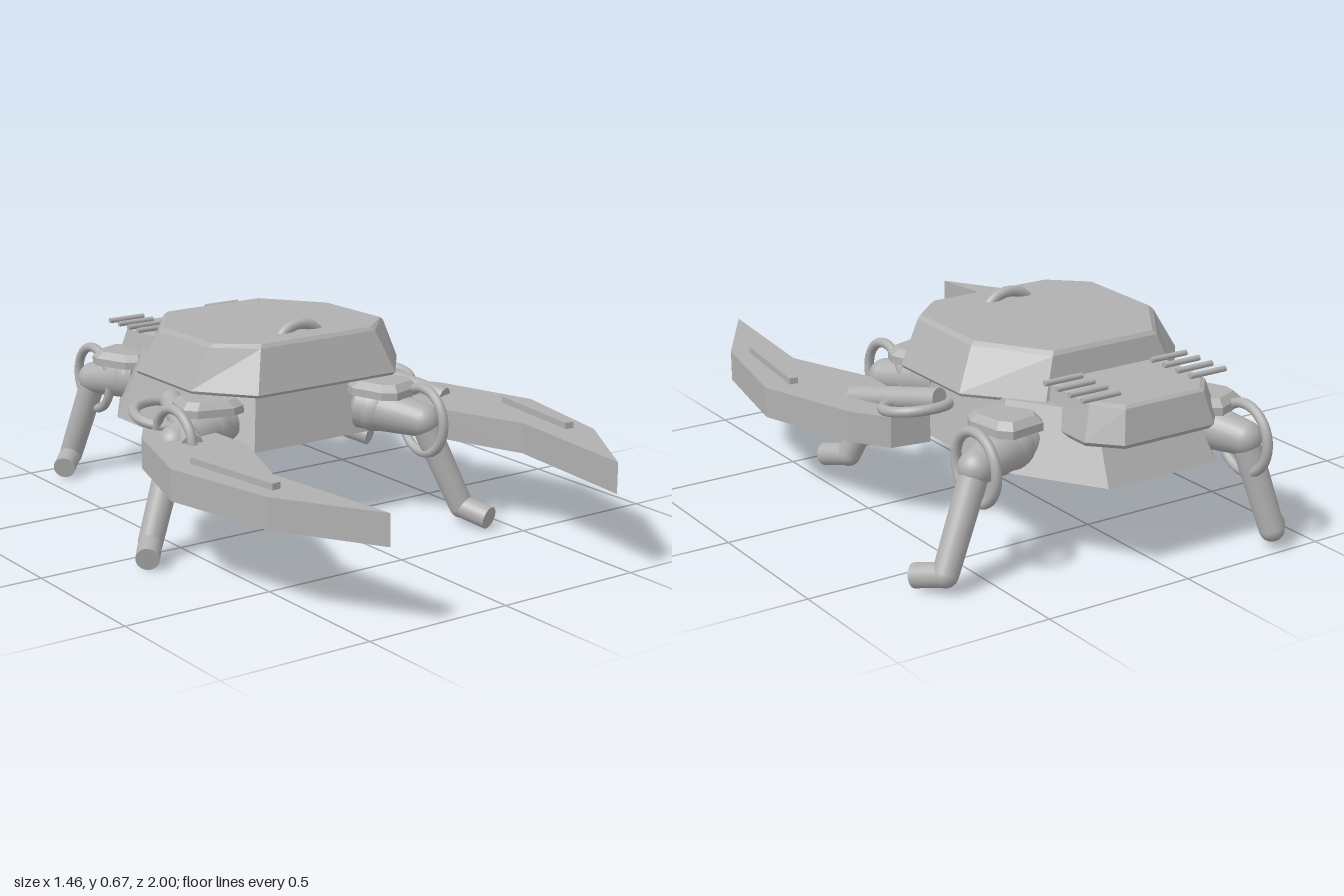
import * as THREE from 'three';

const V = (x, y, z) => new THREE.Vector3(x, y, z);

// Eight-sided outline: side half-width, front/rear half-widths, then z from front to rear
function oct(xo, xf, xr, zF, zf, zr, zR) {
  return [[xf, zF], [xo, zf], [xo, zr], [xr, zR], [-xr, zR], [-xo, zr], [-xo, zf], [-xf, zF]];
}

// Closed faceted solid through stacked outlines; levels are [y, outline], tilt lowers the rear
function loft(levels, tilt = 0) {
  const pos = [], idx = [], n = levels[0][1].length;
  levels.forEach(([y, pts], k) => pts.forEach(([x, z]) =>
    pos.push(x, y + (k >= levels.length - 2 ? tilt * z : 0), z)));
  for (let k = 0; k < levels.length - 1; k++) {
    for (let i = 0; i < n; i++) {
      const a = k * n + i, b = k * n + (i + 1) % n;
      idx.push(a, b, b + n, a, b + n, a + n);
    }
  }
  const top = (levels.length - 1) * n;
  for (let i = 1; i < n - 1; i++) idx.push(0, i + 1, i, top, top + i, top + i + 1);
  let g = new THREE.BufferGeometry();
  g.setAttribute('position', new THREE.Float32BufferAttribute(pos, 3));
  g.setIndex(idx);
  g = g.toNonIndexed();
  g.computeVertexNormals();
  return g;
}

// Round bar from a to b
function bar(a, b, ra, rb = ra, sides = 24) {
  const d = b.clone().sub(a);
  const g = new THREE.CylinderGeometry(rb, ra, d.length(), sides);
  g.applyQuaternion(new THREE.Quaternion().setFromUnitVectors(V(0, 1, 0), d.normalize()));
  const m = a.clone().add(b).multiplyScalar(0.5);
  return g.translate(m.x, m.y, m.z);
}

export function createModel() {
  const grey = new THREE.MeshStandardMaterial({ color: 0xb0b0b0 });
  grey.name = 'grey';
  const model = new THREE.Group();
  model.name = 'crabWalker';
  const add = (name, geometry, parent = model) => {
    const m = new THREE.Mesh(geometry, grey);
    m.name = name;
    parent.add(m);
    return m;
  };

  // Lower hull, wider at the bottom
  add('lowerHull', loft([
    [0.29, oct(0.39, 0.255, 0.2, 0.06, -0.14, -0.57, -0.87)],
    [0.49, oct(0.325, 0.215, 0.17, 0.01, -0.16, -0.52, -0.76)],
  ]));

  // Upper shell with softened rims
  add('upperShell', loft([
    [0.48, oct(0.405, 0.265, 0.235, 0.1, -0.07, -0.4, -0.6)],
    [0.49, oct(0.412, 0.27, 0.24, 0.107, -0.07, -0.4, -0.608)],
    [0.625, oct(0.345, 0.225, 0.195, 0.055, -0.06, -0.365, -0.578)],
    [0.637, oct(0.33, 0.215, 0.185, 0.045, -0.055, -0.36, -0.568)],
  ], 0.015));

  // Rear deck
  add('rearDeck', loft([
    [0.41, oct(0.235, 0.235, 0.155, -0.48, -0.5, -0.8, -0.885)],
    [0.425, oct(0.245, 0.245, 0.165, -0.48, -0.5, -0.81, -0.897)],
    [0.565, oct(0.215, 0.215, 0.145, -0.48, -0.5, -0.79, -0.872)],
    [0.573, oct(0.2, 0.2, 0.135, -0.48, -0.5, -0.785, -0.862)],
  ], 0.045));

  // Arched sight on the shell
  add('topArch', new THREE.TorusGeometry(0.1, 0.018, 12, 40, Math.PI)).position.set(0, 0.557, -0.055);

  // Vent bars on the deck
  for (const s of [-1, 1]) {
    for (let i = 0; i < 4; i++) {
      const z = -0.635 - i * 0.062;
      add('ventBar', bar(V(s * 0.13, 0.56, z), V(s * 0.265, 0.56, z), 0.009, 0.009, 10));
    }
  }

  // Claws with their arms, shoulder rings and top slats
  const outline = [[0.39, -0.2], [0.52, -0.18], [0.6, -0.06], [0.705, 0.285],
    [0.625, 0.68], [0.43, 1], [0.485, 0.5], [0.37, 0.19]];
  for (const s of [-1, 1]) {
    const claw = new THREE.Group();
    claw.name = s > 0 ? 'leftClaw' : 'rightClaw';
    model.add(claw);
    const shape = new THREE.Shape(outline.map(([x, z]) => new THREE.Vector2(s * x, z)));
    const blade = new THREE.ExtrudeGeometry(shape, { depth: 0.1, bevelEnabled: false });
    add('clawBlade', blade.rotateX(Math.PI / 2).translate(0, 0.37, 0), claw);

    const slat = add('clawSlat', new THREE.BoxGeometry(0.03, 0.025, 0.37), claw);
    slat.position.set(s * 0.588, 0.378, 0.45);
    slat.rotation.y = -s * 0.13;

    add('clawArm', bar(V(s * 0.38, 0.42, -0.24), V(s * 0.5, 0.36, 0.08), 0.036), claw);

    const ring = add('shoulderRing', new THREE.TorusGeometry(0.105, 0.017, 12, 40), claw);
    ring.position.set(s * 0.43, 0.395, -0.185);
    ring.rotation.x = Math.PI / 2 + 0.17;
  }

  // Legs: hub base, ring centre, ankle, toe end, and cover position with its turn
  const legs = [
    { name: 'frontRightLeg', hub: V(-0.3, 0.38, -0.07), ring: V(-0.51, 0.35, -0.01),
      ankle: V(-0.64, 0.065, 0.05), toe: V(-0.7, 0.042, 0.13), pad: [-0.365, -0.04, 1.3] },
    { name: 'frontLeftLeg', hub: V(0.19, 0.38, 0.04), ring: V(0.29, 0.35, 0.23),
      ankle: V(0.385, 0.065, 0.32), toe: V(0.42, 0.042, 0.42), pad: [0.225, 0.1, 0.3] },
    { name: 'rearLeftLeg', hub: V(0.31, 0.38, -0.57), ring: V(0.51, 0.35, -0.64),
      ankle: V(0.65, 0.065, -0.69), toe: V(0.7, 0.042, -0.6), pad: [0.36, -0.57, 0.15] },
    { name: 'rearRightLeg', hub: V(-0.21, 0.38, -0.69), ring: V(-0.3, 0.35, -0.88),
      ankle: V(-0.36, 0.065, -0.955), toe: V(-0.43, 0.042, -0.88), pad: [-0.25, -0.74, 0.4] },
  ];
  const cover = loft([
    [0.425, oct(0.088, 0.06, 0.06, 0.1, 0.06, -0.06, -0.1)],
    [0.45, oct(0.088, 0.06, 0.06, 0.1, 0.06, -0.06, -0.1)],
    [0.472, oct(0.068, 0.045, 0.045, 0.08, 0.045, -0.045, -0.08)],
  ]);
  for (const { name, hub, ring, ankle, toe, pad } of legs) {
    const leg = new THREE.Group();
    leg.name = name;
    model.add(leg);
    add('hipHub', bar(hub, ring, 0.082, 0.055), leg);
    add('hipBall', new THREE.SphereGeometry(0.08, 24, 16), leg).position.lerpVectors(hub, ring, 0.2);
    add('hipJoint', new THREE.SphereGeometry(0.055, 24, 16), leg).position.copy(ring);

    const hipRing = add('hipRing', new THREE.TorusGeometry(0.108, 0.016, 12, 40), leg);
    hipRing.position.copy(ring);
    hipRing.rotation.y = Math.PI / 2;

    add('shin', bar(ring, ankle, 0.045, 0.04), leg);
    add('ankle', new THREE.SphereGeometry(0.04, 20, 14), leg).position.copy(ankle);
    add('foot', bar(ankle, toe, 0.038), leg);

    const cap = add('hipCover', cover, leg);
    cap.position.set(pad[0], 0, pad[1]);
    cap.rotation.y = pad[2];
  }
  return model;
}
